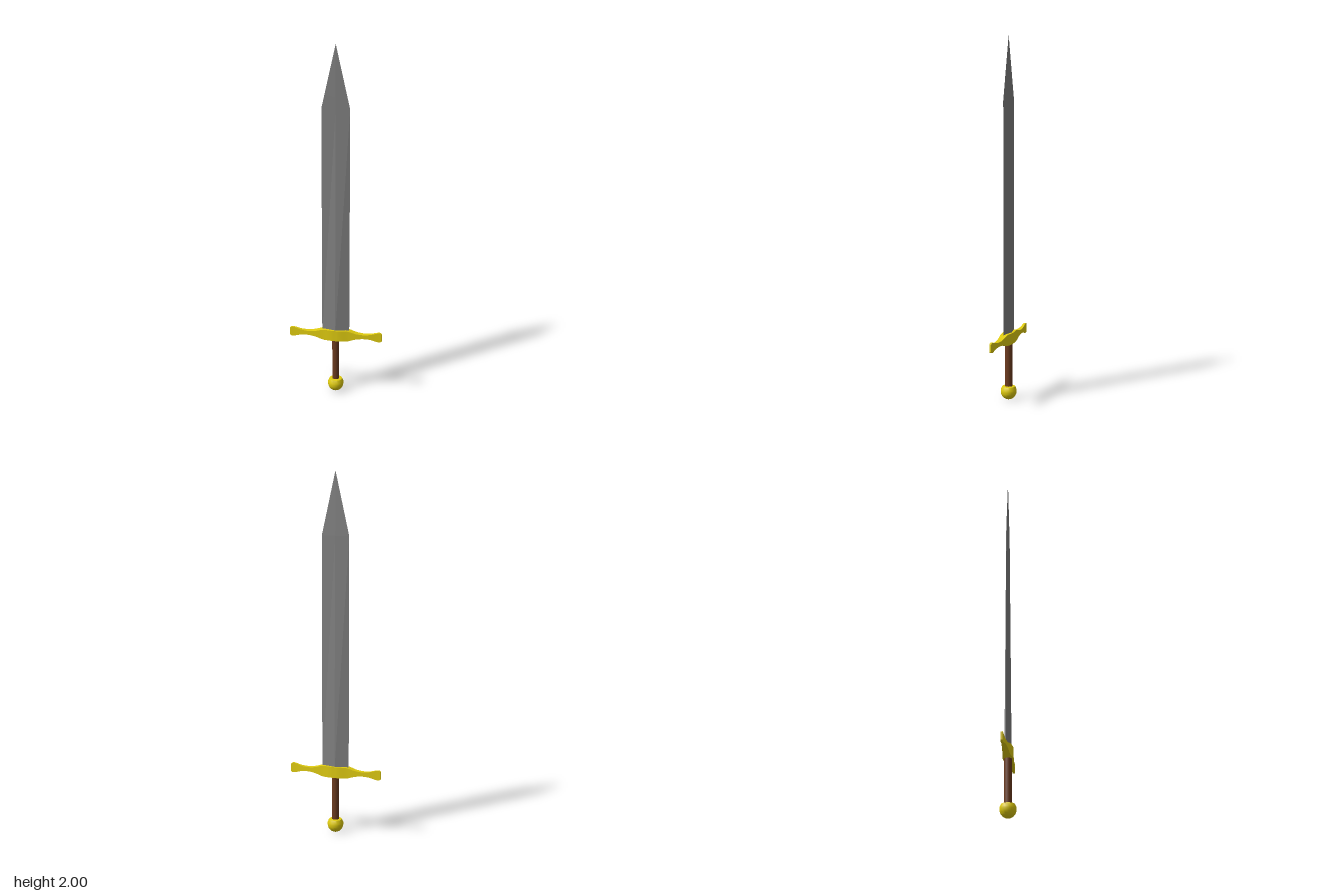
import * as THREE from 'three';
import { toCreasedNormals } from 'three/addons/utils/BufferGeometryUtils.js';

const steel = new THREE.MeshStandardMaterial({ color: 0x808080 });
const gold = new THREE.MeshStandardMaterial({ color: 0xe0cc10 });
const leather = new THREE.MeshStandardMaterial({ color: 0x6b3a1e });

// Skin a list of equal-length rings (counter-clockwise seen from the far end) and cap both ends.
function loft(rings, crease) {
  const n = rings[0].length;
  const index = [];
  for (let i = 0; i < rings.length - 1; i++) {
    for (let j = 0; j < n; j++) {
      const a = i * n + j, b = i * n + (j + 1) % n;
      index.push(a, b, b + n, a, b + n, a + n);
    }
  }
  const last = (rings.length - 1) * n;
  for (let j = 1; j < n - 1; j++) {
    index.push(0, j + 1, j, last, last + j, last + j + 1);
  }
  const geometry = new THREE.BufferGeometry();
  geometry.setAttribute('position', new THREE.Float32BufferAttribute(rings.flat(2), 3));
  geometry.setIndex(index);
  return toCreasedNormals(geometry, crease);
}

function part(name, geometry, material) {
  const mesh = new THREE.Mesh(geometry, material);
  mesh.name = name;
  return mesh;
}

// Diamond-section blade: constant width to the shoulder, thinning evenly to the tip.
function bladeGeometry() {
  const sections = [[0.35, 0.077, 0.019], [1.655, 0.077, 0.004], [2, 0, 0]];
  return loft(sections.map(([y, w, d]) => [[0, y, d], [w, y, 0], [0, y, -d], [-w, y, 0]]), 0.02);
}

// Crossguard: half height and half depth follow the distance from the centre.
function guardGeometry() {
  const profile = new THREE.CatmullRomCurve3([
    [0, 0.031, 0.028], [0.03, 0.031, 0.026], [0.07, 0.03, 0.02], [0.115, 0.017, 0.016],
    [0.16, 0.012, 0.0125], [0.2, 0.016, 0.009], [0.24, 0.027, 0.006], [0.252, 0.027, 0.0055], [0.262, 0.021, 0.005],
  ].map((p) => new THREE.Vector3(...p)));
  const half = profile.getPoints(24);
  const ring = (x, h, d) => [[x, 0.35 + h, -d], [x, 0.35 + h, d], [x, 0.35 - h, d], [x, 0.35 - h, -d]];
  const left = half.map((p) => ring(p.x, p.y, p.z));
  const right = half.slice(1).reverse().map((p) => ring(-p.x, p.y, p.z));
  return loft([...right, ...left], 0.7);
}

// Pommel: round bowl below, chamfered rim and flat top.
function pommelGeometry() {
  const points = [];
  for (let i = 0; i <= 8; i++) {
    const a = (i / 8) * Math.PI / 2;
    points.push(new THREE.Vector2(0.044 * Math.sin(a), 0.046 - 0.046 * Math.cos(a)));
  }
  points.push(new THREE.Vector2(0.044, 0.056), new THREE.Vector2(0.036, 0.074), new THREE.Vector2(0, 0.078));
  return toCreasedNormals(new THREE.LatheGeometry(points, 24), 0.5);
}

export function createModel() {
  const sword = new THREE.Group();
  sword.name = 'sword';

  const grip = part('grip', new THREE.CylinderGeometry(0.02, 0.02, 0.28, 16), leather);
  grip.position.y = 0.2;

  sword.add(
    part('blade', bladeGeometry(), steel),
    part('crossguard', guardGeometry(), gold),
    grip,
    part('pommel', pommelGeometry(), gold),
  );
  return sword;
}
